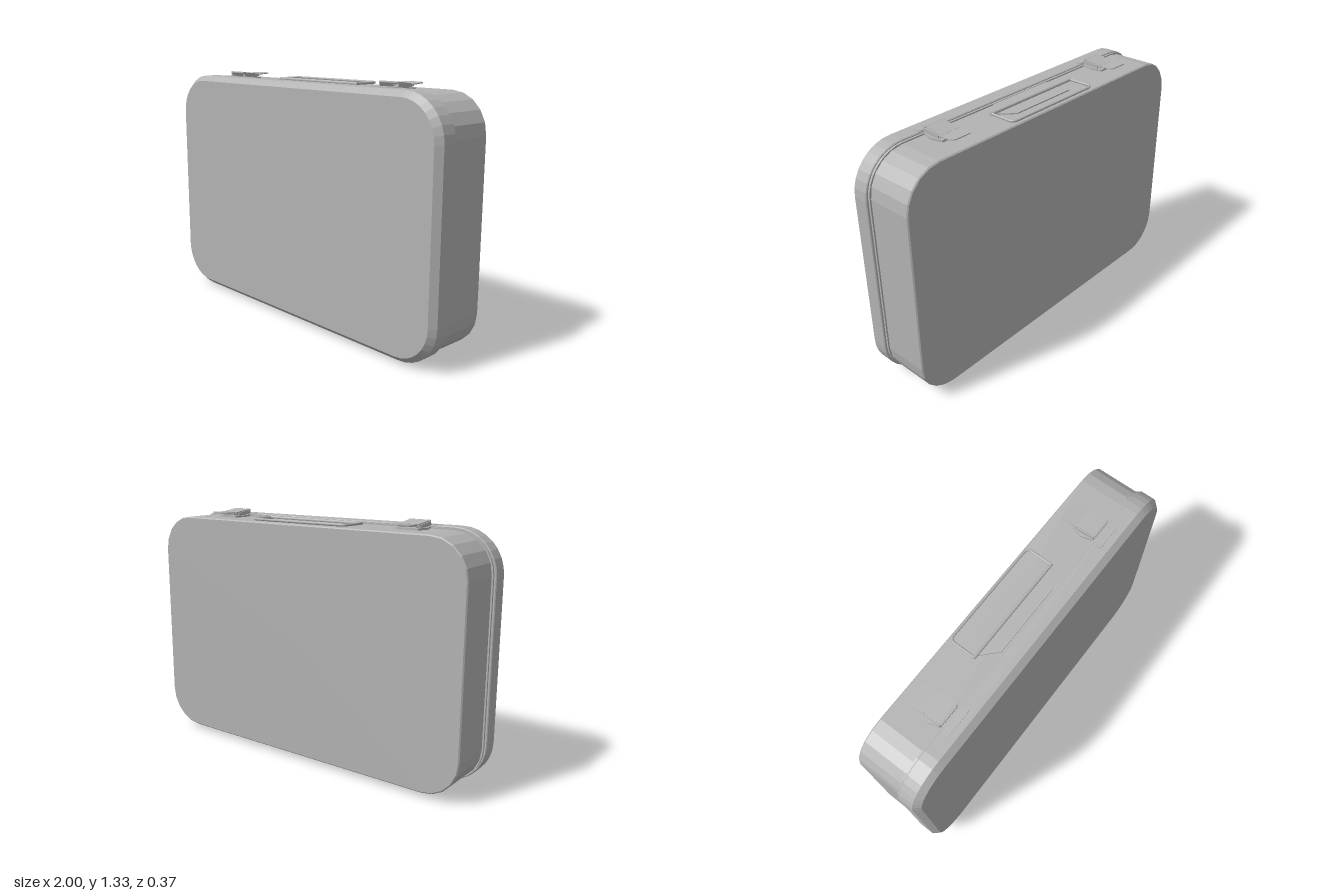
import * as THREE from 'three';

const metal = new THREE.MeshStandardMaterial({ color: 0xb3b3b3 });
metal.name = 'grey metal';

const MID_Y = 0.66;

function add(parent, geometry, name, x = 0, y = 0, z = 0) {
  const mesh = new THREE.Mesh(geometry, metal);
  mesh.name = name;
  mesh.position.set(x, y, z);
  parent.add(mesh);
  return mesh;
}

// Rounded rectangle outline, counter-clockwise seen from +z
function outline(halfW, halfH, radius, steps) {
  const pts = [];
  for (let c = 0; c < 4; c++) {
    const sx = c === 0 || c === 3 ? 1 : -1;
    const sy = c < 2 ? 1 : -1;
    for (let i = 0; i <= steps; i++) {
      const a = (c + i / steps) * Math.PI / 2;
      pts.push([sx * (halfW - radius) + radius * Math.cos(a), sy * (halfH - radius) + radius * Math.sin(a)]);
    }
  }
  return pts;
}

// Faceted closed shell through [z, inset] sections, from back to front
function shell(halfW, halfH, radius, steps, sections) {
  const pos = [], index = [];
  const n = 4 * (steps + 1);
  for (const [z, inset] of sections) {
    for (const [x, y] of outline(halfW - inset, halfH - inset, radius - inset, steps)) pos.push(x, y, z);
  }
  for (let k = 0; k < sections.length - 1; k++) {
    for (let i = 0; i < n; i++) {
      const a = k * n + i, b = k * n + (i + 1) % n;
      index.push(a, b, b + n, a, b + n, a + n);
    }
  }
  const last = sections.length - 1;
  const back = pos.length / 3, front = back + 1;
  pos.push(0, 0, sections[0][0], 0, 0, sections[last][0]);
  for (let i = 0; i < n; i++) {
    const j = (i + 1) % n;
    index.push(back, j, i, front, last * n + i, last * n + j);
  }
  const indexed = new THREE.BufferGeometry();
  indexed.setAttribute('position', new THREE.Float32BufferAttribute(pos, 3));
  indexed.setIndex(index);
  const flat = indexed.toNonIndexed();
  flat.computeVertexNormals();
  return flat;
}

// Thin horizontal plate from an [x, z] outline, resting on y = 0
function plate(points, thickness) {
  const shape = new THREE.Shape(points.map(([x, z]) => new THREE.Vector2(x, -z)));
  return new THREE.ExtrudeGeometry(shape, { depth: thickness, bevelEnabled: false }).rotateX(-Math.PI / 2);
}

function createLatch(side) {
  const latch = new THREE.Group();
  latch.name = side > 0 ? 'leftLatch' : 'rightLatch';
  latch.position.x = side * 0.59;

  // Base with flared ears
  add(latch, plate([[-0.06, 0.065], [-0.078, 0], [-0.06, -0.06], [0.06, -0.06], [0.078, 0], [0.06, 0.065]], 0.012), 'latchBase', 0, 1.288, 0);
  // Catch plate on the lid
  add(latch, plate(outline(0.08, 0.022, 0.018, 4), 0.004), 'latchCatch', 0, 1.304, 0.098);
  // Rounded finger tab
  add(latch, plate(outline(0.062, 0.055, 0.025, 4), 0.005), 'latchTab', 0, 1.314, -0.075).rotation.x = 0.06;
  // Sloping lever with folded sides
  const lever = new THREE.Group();
  lever.name = 'latchLever';
  lever.position.set(0, 1.322, 0.012);
  lever.rotation.x = -0.12;
  latch.add(lever);
  add(lever, new THREE.BoxGeometry(0.11, 0.006, 0.115), 'leverTop');
  for (const s of [-1, 1]) {
    add(lever, plate([[-0.004, -0.045], [0.004, -0.045], [0.004, 0.05], [-0.004, 0.05]], 0.02), 'leverSide', s * 0.058, -0.022, 0);
  }
  // Hinge pins
  for (const z of [-0.042, 0.06]) {
    add(latch, new THREE.CylinderGeometry(0.006, 0.006, 0.12, 10).rotateZ(Math.PI / 2), 'latchPin', 0, z > 0 ? 1.326 : 1.309, z);
  }
  return latch;
}

function createHandle() {
  const handle = new THREE.Group();
  handle.name = 'handle';
  // Faceted mounting plate
  add(handle, plate([[-0.285, -0.02], [-0.2, -0.1], [0.2, -0.1], [0.285, -0.02], [0.2, 0.06], [-0.2, 0.06]], 0.008), 'handlePlate', 0, 1.288, 0);
  // Wire bail folded flat towards the back
  const x = 0.299, back = -0.166, front = -0.022, r = 0.03;
  const path = new THREE.CurvePath();
  const v = (a, b) => new THREE.Vector3(a, 0, b);
  path.add(new THREE.LineCurve3(v(-x, front), v(-x, back + r)));
  path.add(new THREE.QuadraticBezierCurve3(v(-x, back + r), v(-x, back), v(-x + r, back)));
  path.add(new THREE.LineCurve3(v(-x + r, back), v(x - r, back)));
  path.add(new THREE.QuadraticBezierCurve3(v(x - r, back), v(x, back), v(x, back + r)));
  path.add(new THREE.LineCurve3(v(x, back + r), v(x, front)));
  add(handle, new THREE.TubeGeometry(path, 120, 0.007, 8), 'handleWire', 0, 1.302, 0);
  // Pivot rod
  add(handle, new THREE.CylinderGeometry(0.009, 0.009, 0.61, 10).rotateZ(Math.PI / 2), 'handlePivot', 0, 1.301, front);
  return handle;
}

export function createModel() {
  const model = new THREE.Group();
  model.name = 'carryCase';

  // Case body with a softened back edge
  add(model, shell(0.98, 0.631, 0.2, 5, [[-0.182, 0.006], [-0.176, 0], [0.09, 0]]), 'body', 0, MID_Y - 0.001, 0);
  // Seam rim between body and lid
  add(model, shell(0.988, 0.637, 0.21, 8, [[0.062, 0], [0.09, 0]]), 'seamRim', 0, MID_Y, 0);
  // Lid with a chamfered front edge
  add(model, shell(1, 0.645, 0.225, 8, [[0.073, 0.004], [0.077, 0], [0.155, 0], [0.187, 0.03]]), 'lid', 0, MID_Y, 0);

  // Long bottom hinge
  add(model, new THREE.CylinderGeometry(0.011, 0.011, 1.33, 12).rotateZ(Math.PI / 2), 'hingeBarrel', 0, 0.011, 0.066);
  add(model, new THREE.BoxGeometry(1.33, 0.012, 0.06), 'hingeLeaf', 0, 0.024, 0.043);

  model.add(createHandle());
  for (const side of [-1, 1]) model.add(createLatch(side));
  return model;
}
